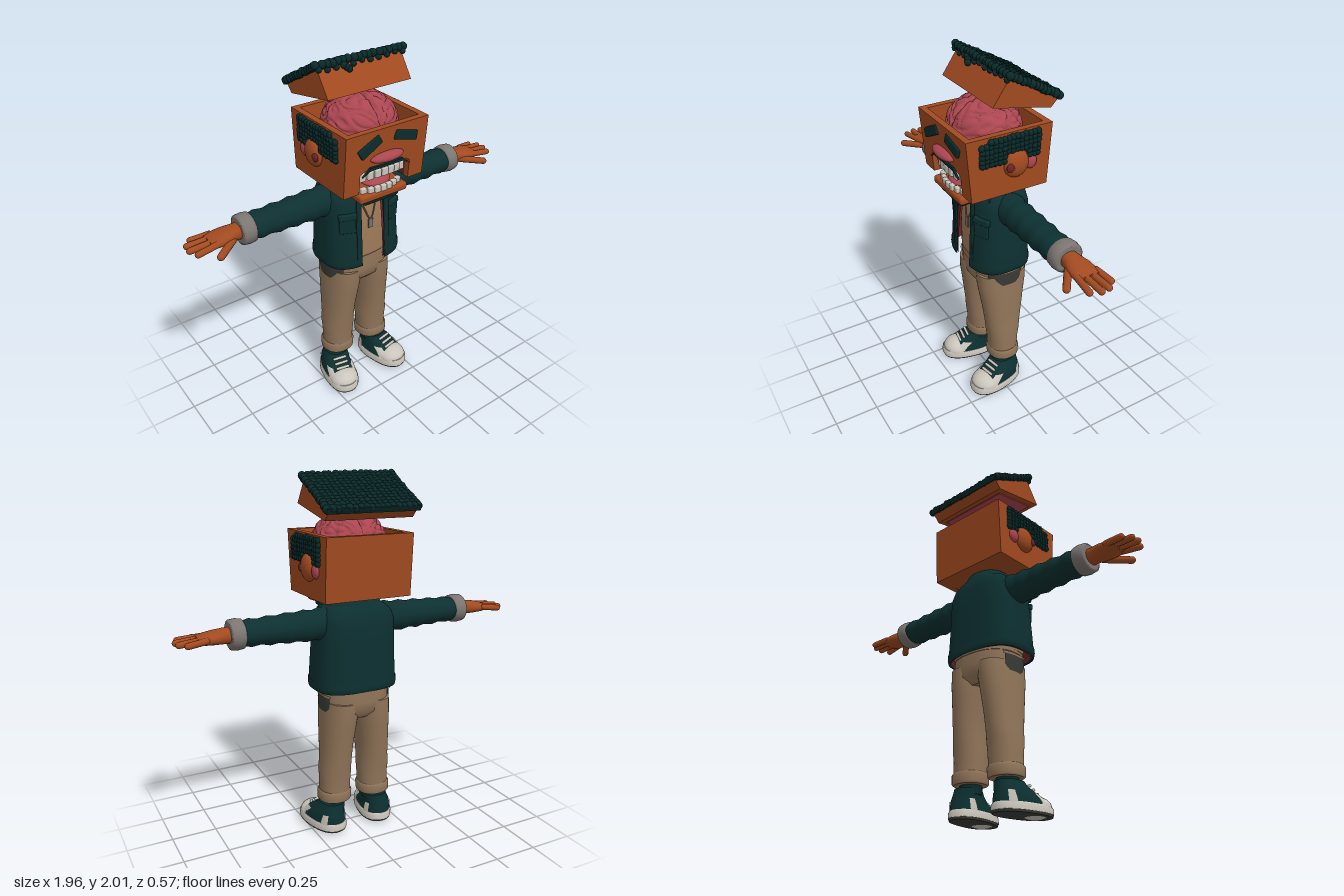
import * as THREE from 'three';
import { mergeGeometries } from 'three/addons/utils/BufferGeometryUtils.js';
import { RoundedBoxGeometry } from 'three/addons/geometries/RoundedBoxGeometry.js';

const mat = (name, color) => new THREE.MeshStandardMaterial({ name, color, side: THREE.DoubleSide });
const M = {
  skin: mat('skin', 0xa24a20), hair: mat('hair', 0x0a2a2a), jacket: mat('jacket', 0x0d3031),
  pants: mat('pants', 0x92765a), shirt: mat('shirt', 0xa07a58), grey: mat('cuff grey', 0x7c7672),
  white: mat('white', 0xcbc6bc), pink: mat('pink flesh', 0xab4650), maroon: mat('maroon', 0x6b2426),
  patch: mat('dark patch', 0x3a3a35),
};
const rad = THREE.MathUtils.degToRad;
let seed = 7;
const rnd = () => (seed = (seed * 16807) % 2147483647) / 2147483647 - 0.5;

function add(parent, name, geo, material, pos = [0, 0, 0], rot = [0, 0, 0]) {
  const m = new THREE.Mesh(geo, material);
  m.name = name;
  m.position.set(...pos);
  m.rotation.set(...rot);
  parent.add(m);
  return m;
}
const box = (w, h, d) => new THREE.BoxGeometry(w, h, d);
const rbox = (w, h, d, r) => new RoundedBoxGeometry(w, h, d, 3, r);
const ball = (x, y, z, w = 24, h = 16) => new THREE.SphereGeometry(1, w, h).scale(x, y, z);

// Skin over superellipse rings [y, centreX, centreZ, radiusX, radiusZ]; a partial arc leaves it open
function loft(rings, { p = 2.4, from = 0, to = 360, n = 40, caps = true, grow = 0 } = {}) {
  const closed = to - from === 360, pos = [], idx = [], cols = closed ? n : n + 1;
  const pw = v => Math.sign(v) * Math.abs(v) ** (2 / p);
  const ring = ([y, cx, cz, rx, rz]) => {
    for (let j = 0; j < cols; j++) {
      const t = rad(from + (to - from) * j / n);
      pos.push(cx + (rx + grow) * pw(Math.cos(t)), y, cz + (rz + grow) * pw(Math.sin(t)));
    }
  };
  rings.forEach(ring);
  for (let i = 0; i < rings.length - 1; i++) for (let j = 0; j < n; j++) {
    const a = i * cols + j, b = i * cols + (j + 1) % cols;
    idx.push(a, a + cols, b, b, a + cols, b + cols);
  }
  if (closed && caps) [rings[0], rings.at(-1)].forEach((r, k) => {
    const s = pos.length / 3;
    ring(r);
    pos.push(r[1], r[0], r[2]);
    for (let j = 0; j < n; j++) {
      const a = s + j, b = s + (j + 1) % n;
      idx.push(s + n, ...(k ? [b, a] : [a, b]));
    }
  });
  const g = new THREE.BufferGeometry();
  g.setAttribute('position', new THREE.Float32BufferAttribute(pos, 3));
  g.setIndex(idx);
  g.computeVertexNormals();
  return g;
}
// Capsule between two points
function limb(a, b, r) {
  const A = new THREE.Vector3(...a), B = new THREE.Vector3(...b), d = B.clone().sub(A);
  const q = new THREE.Quaternion().setFromUnitVectors(new THREE.Vector3(0, 1, 0), d.clone().normalize());
  return new THREE.CapsuleGeometry(r, d.length(), 6, 12).applyQuaternion(q).translate(...A.add(B).multiplyScalar(0.5).toArray());
}
function extrude(points, depth) {
  const s = new THREE.Shape(points.map(([x, y]) => new THREE.Vector2(x, y)));
  return new THREE.ExtrudeGeometry(s, { depth, bevelEnabled: false });
}
const curl = (x, y, z, r, flat = 1) => new THREE.SphereGeometry(r, 8, 6).scale(flat, 1, 1).translate(x, y, z);

function head(g) {
  // Open skull box, slightly deeper at the top
  const taper = geo => {
    const p = geo.attributes.position;
    for (let i = 0; i < p.count; i++) {
      const k = (p.getY(i) - 1.353) / 0.334;
      p.setZ(i, 0.01 + 0.005 * k + p.getZ(i) * (0.22 + 0.025 * k) / 0.245);
    }
    geo.computeVertexNormals();
    return geo;
  };
  const face = [[-0.25, 1.353], [-0.155, 1.353], [-0.155, 1.46], [-0.13, 1.475], [0.13, 1.475], [0.155, 1.46],
    [0.155, 1.353], [0.25, 1.353], [0.25, 1.687], [-0.25, 1.687]];
  add(g, 'face', taper(extrude(face, 0.035).translate(0, 0, 0.21)), M.skin);
  add(g, 'headBack', taper(box(0.5, 0.334, 0.035).translate(0, 1.52, -0.2275)), M.skin);
  for (const s of [-1, 1]) add(g, 'headSide', taper(box(0.035, 0.334, 0.42).translate(s * 0.2325, 1.52, 0)), M.skin);
  add(g, 'headBase', taper(box(0.44, 0.02, 0.29).translate(0, 1.364, -0.07)), M.skin);
  add(g, 'skullFloor', box(0.44, 0.01, 0.4), M.maroon, [0, 1.58, 0.01]);

  // Brain with winding folds and a centre groove
  const brain = new THREE.SphereGeometry(1, 120, 80), p = brain.attributes.position, v = new THREE.Vector3();
  for (let i = 0; i < p.count; i++) {
    v.fromBufferAttribute(p, i);
    const x = Math.abs(v.x);
    const f = Math.abs(Math.sin(9 * x + 5 * v.z + 1.8 * Math.sin(8 * v.z + 3 * v.y) + 1.6 * Math.sin(9 * v.y - 6 * x)));
    const h = Math.abs(Math.sin(7 * v.z - 4 * x + 2 * Math.sin(7 * x + 2)));
    v.multiplyScalar(0.9 + 0.07 * Math.sqrt(f) + 0.04 * Math.sqrt(h) - 0.1 * Math.exp(-x * x * 500));
    p.setXYZ(i, v.x, v.y, v.z);
  }
  brain.scale(0.205, 0.165, 0.195);
  brain.computeVertexNormals();
  add(g, 'brain', brain, M.pink, [0, 1.632, 0.018]);

  // Lifted top of the skull
  const lid = [[0.115, 1.83], [-0.215, 1.765], [-0.26, 1.812], [0.02, 1.965]];
  add(g, 'skullLid', extrude(lid, 0.5).translate(0, 0, -0.25).rotateY(-Math.PI / 2), M.skin);
  add(g, 'lidUnderside', box(0.43, 0.006, 0.27), M.pink, [0, 1.795, -0.05], [-0.195, 0, 0]);
  const curls = [box(0.53, 0.03, 0.34).rotateX(-0.49).translate(0, 1.893, -0.12)];
  for (let i = 0; i < 18; i++) for (let j = 0; j < 13; j++) {
    const t = j / 12, x = (i / 17 - 0.5) * 0.515;
    curls.push(curl(x + rnd() * 0.008, 1.974 - 0.149 * t + rnd() * 0.006, 0.03 - 0.285 * t + rnd() * 0.008, 0.022));
  }
  for (let i = 0; i < 11; i++) curls.push(curl(-0.25 + i * 0.05, 1.958 + rnd() * 0.02, 0.04, 0.016));
  for (let k = 0; k < 3; k++) curls.push(curl(-0.11 + k * 0.012, 1.955 - k * 0.01, 0.045 + k * 0.006, 0.018));
  add(g, 'topHair', mergeGeometries(curls), M.hair);

  // Brows, nose and moustache
  for (const s of [-1, 1]) add(g, 'eyebrow', rbox(0.14, 0.052, 0.02, 0.008), M.hair, [s * 0.11, s < 0 ? 1.608 : 1.617, 0.257], [-0.09, 0, -s * (s < 0 ? 0.48 : 0.26)]);
  add(g, 'nose', ball(0.1, 0.027, 0.04), M.pink, [0, 1.53, 0.25]);
  const lip = [[-0.15, 1.45], [-0.1, 1.492], [0, 1.487], [0.1, 1.492], [0.15, 1.45], [0.1, 1.475], [-0.1, 1.475]];
  add(g, 'moustache', extrude(lip.reverse(), 0.012), M.hair, [0, 0, 0.242]);

  // Mouth hollow, teeth, tongue
  add(g, 'mouthBack', box(0.33, 0.13, 0.008), M.maroon, [0, 1.415, 0.08]);
  add(g, 'mouthRoof', box(0.33, 0.008, 0.14), M.maroon, [0, 1.478, 0.145]);
  for (const s of [-1, 1]) add(g, 'mouthWall', box(0.008, 0.125, 0.14), M.maroon, [s * 0.16, 1.416, 0.145]);
  for (let i = 0; i < 7; i++) {
    const u = i - 3, z = 0.232 - u * u * 0.003;
    add(g, 'upperTooth', rbox(0.038, 0.045, 0.025, 0.006), M.white, [u * 0.04, 1.44 - u * u * 0.0015, z]);
    add(g, 'lowerTooth', rbox(0.034, 0.035, 0.025, 0.006), M.white, [u * 0.036, 1.345, z - 0.005]);
  }
  add(g, 'tongue', ball(0.09, 0.025, 0.08), M.pink, [0, 1.372, 0.14], [0.25, 0, 0]);
  add(g, 'jaw', rbox(0.3, 0.045, 0.25, 0.015), M.skin, [0, 1.318, 0.115], [0.06, 0, 0]);
  add(g, 'beard', rbox(0.23, 0.045, 0.13, 0.018), M.hair, [0, 1.283, 0.155], [0.05, 0, 0]);
  add(g, 'neck', new THREE.CylinderGeometry(0.075, 0.085, 0.18, 28), M.skin, [0, 1.28, -0.03]);
}

const jacketRings = [[0.845, 0, -0.018, 0.23, 0.172], [0.87, 0, -0.018, 0.236, 0.174], [1.0, 0, -0.02, 0.228, 0.17],
  [1.12, 0, -0.025, 0.222, 0.165], [1.22, 0, -0.03, 0.218, 0.157], [1.27, 0, -0.032, 0.2, 0.143],
  [1.3, 0, -0.035, 0.165, 0.125], [1.32, 0, -0.04, 0.12, 0.105]];
const pelvisRings = [[0.68, 0, -0.037, 0.13, 0.1], [0.72, 0, -0.037, 0.185, 0.14], [0.78, 0, -0.037, 0.192, 0.15], [0.87, 0, -0.037, 0.188, 0.148]];

function torso(g) {
  add(g, 'shirt', loft([[0.85, 0, -0.02, 0.195, 0.132], [1.05, 0, -0.02, 0.19, 0.135], [1.2, 0, -0.025, 0.16, 0.125],
    [1.26, 0, -0.03, 0.11, 0.1], [1.275, 0, -0.03, 0.09, 0.09]]), M.shirt);
  const open = { p: 3, from: 100.5, to: 439.5, n: 64 };
  add(g, 'jacketBody', loft(jacketRings, open), M.jacket);
  add(g, 'jacketLining', loft(jacketRings, { ...open, grow: -0.012 }), M.maroon);
  add(g, 'jacketHem', loft([[0.845, 0, -0.018, 0.222, 0.162], ...jacketRings.slice(0, 2), [0.895, 0, -0.018, 0.234, 0.172]], { ...open, grow: 0.004 }), M.jacket);
  add(g, 'collar', loft([[1.285, 0, -0.035, 0.115, 0.1], [1.345, 0, -0.035, 0.105, 0.098], [1.348, 0, -0.035, 0.12, 0.108],
    [1.3, 0, -0.035, 0.16, 0.128]], { p: 2.2, from: 125, to: 415 }), M.jacket);
  // Necklace with a tag
  const cord = new THREE.CatmullRomCurve3([[-0.07, 1.25, 0.06], [-0.045, 1.2, 0.103], [0, 1.105, 0.122], [0.045, 1.2, 0.103], [0.07, 1.25, 0.06]].map(a => new THREE.Vector3(...a)));
  add(g, 'necklace', new THREE.TubeGeometry(cord, 40, 0.004, 8), M.grey);
  add(g, 'tag', rbox(0.032, 0.055, 0.01, 0.004), M.grey, [0, 1.08, 0.123]);
  add(g, 'pantsSeat', loft(pelvisRings), M.pants);
  add(g, 'waistband', loft([[0.835, 0, -0.037, 0.193, 0.153], [0.872, 0, -0.037, 0.193, 0.153]]), M.pants);
}

// Everything that is mirrored, built on the +x side
function side(g) {
  // Ear and side hair
  add(g, 'ear', ball(0.04, 0.075, 0.07), M.skin, [0.25, 1.515, -0.02]);
  add(g, 'earLobe', ball(0.022, 0.04, 0.035), M.pink, [0.25, 1.505, -0.105]);
  add(g, 'earHole', ball(0.012, 0.024, 0.024), M.maroon, [0.277, 1.51, 0.025]);
  const curls = [];
  for (let i = 0; i < 14; i++) for (let j = 0; j < 6; j++) {
    const z = 0.175 - i * 0.0245, y = 1.662 - j * 0.023;
    if ((z > 0.14 && j === 0) || (y < 1.57 && z < 0.05 && z > -0.09)) continue;
    curls.push(curl(0.255 + rnd() * 0.004, y + rnd() * 0.006, z + rnd() * 0.006, 0.018, 0.9));
  }
  add(g, 'sideHair', mergeGeometries(curls), M.hair);

  // Sleeve with soft wrinkles, rolled cuff
  const along = geo => geo.rotateZ(-Math.PI / 2).translate(0, 1.21, -0.035);
  const sleeve = [[0.13, 0, 0, 0.085, 0.085], [0.2, 0, 0, 0.09, 0.088]];
  for (let i = 0; i <= 16; i++) {
    const t = i / 16, w = i % 4 === 2 ? 0.005 : i % 4 === 0 ? -0.004 : 0;
    sleeve.push([0.24 + 0.4 * t, 0, 0, 0.083 - 0.017 * t + w, 0.08 - 0.004 * t + w]);
  }
  add(g, 'sleeve', along(loft(sleeve, { p: 2 })), M.jacket);
  add(g, 'sleeveCuff', along(loft([[0.628, 0, 0, 0.068, 0.072], [0.634, 0, 0, 0.077, 0.082], [0.665, 0, 0, 0.081, 0.086],
    [0.697, 0, 0, 0.077, 0.082], [0.703, 0, 0, 0.066, 0.07]], { p: 2 })), M.grey);
  // Hand
  add(g, 'palm', along(loft([[0.68, 0, 0, 0.042, 0.045], [0.73, 0, 0, 0.04, 0.05], [0.78, 0.002, 0, 0.035, 0.065],
    [0.83, 0.005, 0, 0.028, 0.068], [0.865, 0.005, 0, 0.016, 0.06]], { p: 2.2 })), M.skin);
  [[-0.092, -0.107, 0.925], [-0.056, -0.068, 0.96], [-0.018, -0.022, 0.965], [0.017, 0.03, 0.945]].forEach(([z0, z1, x]) =>
    add(g, 'finger', limb([0.83, 1.208, z0], [x, 1.198, z1], 0.017), M.skin));
  add(g, 'thumb', limb([0.75, 1.195, 0.005], [0.86, 1.185, 0.092], 0.019), M.skin);

  // Jacket front: lapel, pocket, flap, placket
  const lapel = extrude([[0, 0], [0.075, -0.07], [0.11, -0.005], [0.06, 0.05]], 0.012);
  add(g, 'lapel', lapel, M.jacket, [0.055, 1.285, 0.088], [-0.35, 0.2, 0]);
  add(g, 'chestPocket', rbox(0.09, 0.1, 0.02, 0.008), M.jacket, [0.148, 1.115, 0.119], [0, 0.4, 0]);
  add(g, 'pocketFlap', rbox(0.1, 0.035, 0.03, 0.008), M.jacket, [0.148, 1.163, 0.118], [-0.08, 0.4, 0]);
  add(g, 'placket', rbox(0.03, 0.4, 0.012, 0.005), M.jacket, [0.09, 1.05, 0.144], [-0.03, 0.06, 0]);

  // Trouser leg, turn-up, side pocket
  add(g, 'leg', loft([[0.2, 0.123, -0.037, 0.086, 0.084], [0.3, 0.12, -0.037, 0.086, 0.09], [0.36, 0.12, -0.037, 0.09, 0.098],
    [0.42, 0.117, -0.038, 0.085, 0.105], [0.52, 0.112, -0.038, 0.088, 0.118], [0.62, 0.104, -0.037, 0.095, 0.132],
    [0.7, 0.098, -0.037, 0.098, 0.145], [0.78, 0.093, -0.037, 0.1, 0.148]], { p: 2.2 }), M.pants);
  add(g, 'turnUp', loft([[0.178, 0.124, -0.037, 0.087, 0.084], [0.185, 0.124, -0.037, 0.094, 0.091], [0.23, 0.123, -0.037, 0.096, 0.093],
    [0.242, 0.123, -0.037, 0.086, 0.084]], { p: 2.2 }), M.pants);
  const patch = [[0.725, 0, -0.037, 0.19, 0.142], [0.78, 0, -0.037, 0.194, 0.151], [0.815, 0, -0.037, 0.193, 0.151]];
  add(g, 'sidePocket', loft(patch, { from: -24, to: 44, n: 16, grow: 0.006 }), M.patch);
  add(g, 'pocketTrim', loft([[0.812, 0, -0.037, 0.194, 0.152], [0.825, 0, -0.037, 0.194, 0.152]], { from: -28, to: 48, n: 16, grow: 0.009 }), M.pants);

  // Shoe, turned slightly outwards
  const shoe = new THREE.Group();
  shoe.name = 'shoe';
  shoe.position.set(0.158, 0, 0);
  shoe.rotation.y = 0.2;
  g.add(shoe);
  add(shoe, 'outsole', loft([[0, 0, 0.035, 0.092, 0.168], [0.012, 0, 0.035, 0.095, 0.171]]), M.patch);
  add(shoe, 'sole', loft([[0.012, 0, 0.035, 0.097, 0.173], [0.04, 0, 0.035, 0.097, 0.172], [0.05, 0, 0.035, 0.09, 0.165]]), M.white);
  const upper = [[0.045, 0, 0.032, 0.088, 0.16], [0.075, 0, 0.015, 0.085, 0.142], [0.105, 0, -0.008, 0.078, 0.112],
    [0.135, -0.008, -0.03, 0.07, 0.086], [0.16, -0.012, -0.038, 0.065, 0.076]];
  add(shoe, 'upper', loft(upper), M.jacket);
  add(shoe, 'toeCap', ball(0.086, 0.058, 0.085), M.white, [0, 0.045, 0.112]);
  for (const a of [20, 130]) add(shoe, 'sidePanel', loft(upper.slice(0, 3), { from: a, to: a + 30, n: 10, grow: 0.005 }), M.white);
  for (const a of [-48, 208]) add(shoe, 'heelPanel', loft(upper.slice(0, 3), { from: a, to: a + 20, n: 10, grow: 0.005 }), M.white);
  for (let i = 0; i < 3; i++) add(shoe, 'lace', limb([-0.035, 0.108 + i * 0.018, 0.102 - i * 0.024], [0.035, 0.108 + i * 0.018, 0.102 - i * 0.024], 0.008), M.white);
  add(shoe, 'sock', new THREE.CylinderGeometry(0.058, 0.06, 0.09, 24), M.hair, [-0.025, 0.175, -0.037]);
}

export function createModel() {
  const model = new THREE.Group();
  model.name = 'figure';
  const parts = { head, torso, leftSide: side, rightSide: side };
  for (const [name, build] of Object.entries(parts)) {
    const g = new THREE.Group();
    g.name = name;
    build(g);
    if (name === 'rightSide') g.scale.x = -1;
    model.add(g);
  }
  return model;
}
